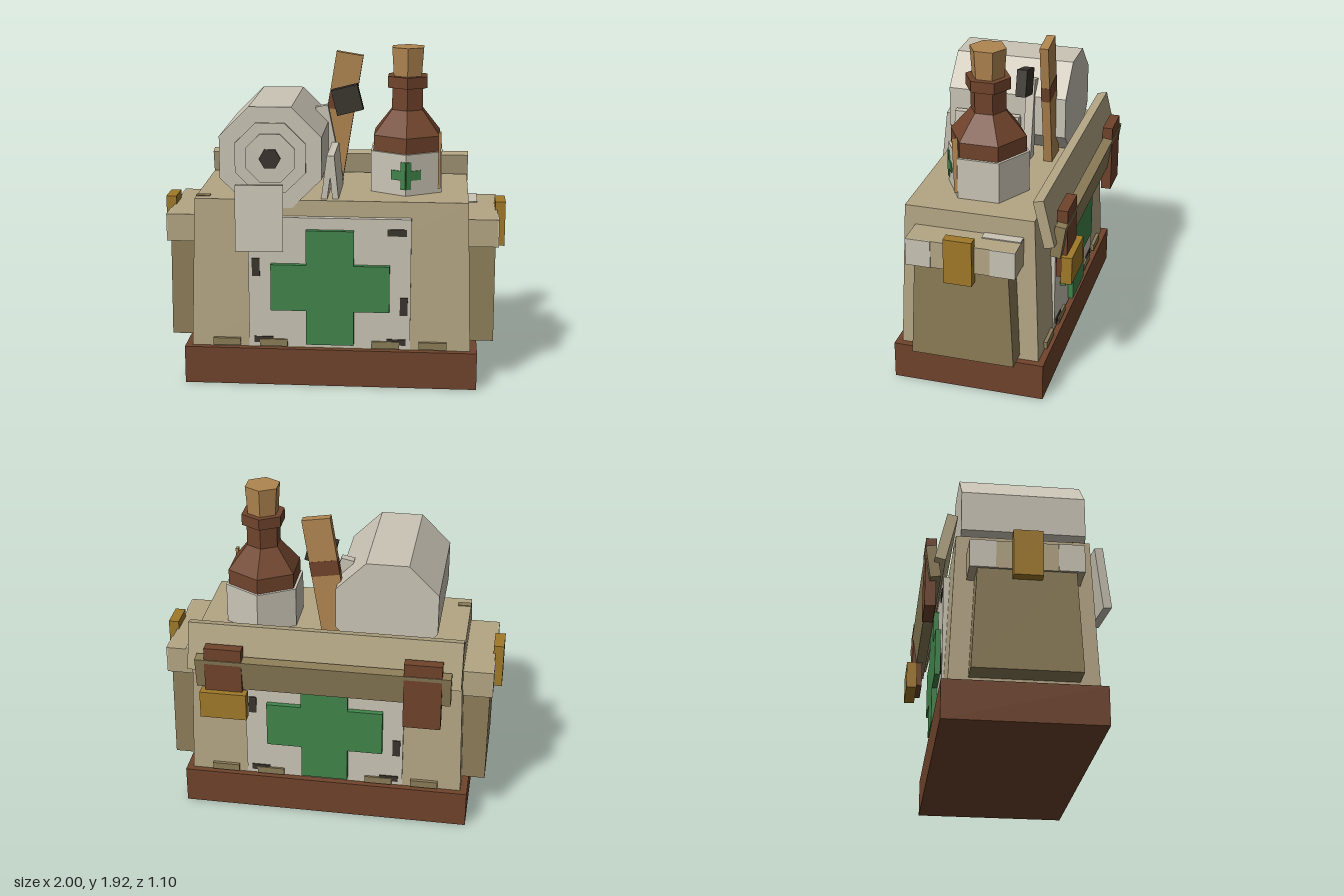
import * as THREE from 'three';

const mat = (name, color) => {
  const m = new THREE.MeshStandardMaterial({ color });
  m.name = name;
  m.flatShading = true;
  return m;
};

export function createModel() {
  const canvas = mat('tan canvas', 0xb4a684);
  const olive = mat('dark canvas', 0x8c7d58);
  const brown = mat('brown leather', 0x70442c);
  const white = mat('off white', 0xcbc5b6);
  const green = mat('green', 0x41854b);
  const gold = mat('brass', 0xa17a29);
  const wood = mat('light wood', 0xb08550);
  const black = mat('charcoal', 0x3a342d);

  const model = new THREE.Group();
  model.name = 'medicalBag';

  const add = (name, geometry, material, pos, rot = [0, 0, 0], parent = model) => {
    const mesh = new THREE.Mesh(geometry, material);
    mesh.name = name;
    mesh.position.set(...pos);
    mesh.rotation.set(...rot);
    parent.add(mesh);
    return mesh;
  };
  const box = (name, material, size, pos, rot, parent) =>
    add(name, new THREE.BoxGeometry(...size), material, pos, rot, parent);
  // Box whose upper end is scaled in x and z
  const taperedBox = (w, h, d, sx, sz) => {
    const g = new THREE.BoxGeometry(w, h, d);
    const p = g.attributes.position;
    for (let i = 0; i < p.count; i++) {
      if (p.getY(i) > 0) p.setXYZ(i, p.getX(i) * sx, p.getY(i), p.getZ(i) * sz);
    }
    g.computeVertexNormals();
    return g;
  };
  const prism = (rTop, rBottom, h, sides) => new THREE.CylinderGeometry(rTop, rBottom, h, sides);
  const crossGeometry = (size, bar, depth) => {
    const a = size / 2, b = bar / 2;
    const pts = [[-b, -a], [b, -a], [b, -b], [a, -b], [a, b], [b, b], [b, a], [-b, a], [-b, b], [-a, b], [-a, -b], [-b, -b]];
    return new THREE.ExtrudeGeometry(new THREE.Shape(pts.map(p => new THREE.Vector2(...p))), { depth, bevelEnabled: false });
  };

  // Base and body
  const zc = 0.008;
  box('base', brown, [1.69, 0.22, 0.88], [0, 0.11, zc]);
  add('body', taperedBox(1.61, 0.87, 0.806, 0.968, 0.915), canvas, [0, 0.655, zc]);
  box('topPatch', olive, [0.08, 0.006, 0.04], [-0.74, 1.092, 0.3]);

  // Front and back panels with cross, stitches and hem tabs
  for (const [side, turn] of [['front', 0], ['back', Math.PI]]) {
    const face = new THREE.Group();
    face.name = side + 'Face';
    face.position.z = zc;
    face.rotation.y = turn;
    model.add(face);
    box('panel', white, [0.93, 0.77, 0.06], [-0.005, 0.613, 0.379], undefined, face);
    add('cross', crossGeometry(0.68, 0.273, 0.045), green, [0, 0.59, 0.395], undefined, face);
    for (const [x, y, w, h] of [[0.38, 0.92, 0.11, 0.04], [-0.427, 0.702, 0.045, 0.105],
      [0.422, 0.483, 0.045, 0.105], [-0.385, 0.267, 0.11, 0.036], [0.38, 0.267, 0.11, 0.036]]) {
      box('stitch', black, [w, h, 0.008], [x, y, 0.411], undefined, face);
    }
    for (const x of [-0.6, -0.327, 0.318, 0.59]) {
      box('hemTab', olive, [0.16, 0.042, 0.03], [x, 0.25, 0.406], undefined, face);
    }
  }

  // Side pockets
  for (const s of [-1, 1]) {
    const pocket = new THREE.Group();
    pocket.name = s > 0 ? 'leftPocket' : 'rightPocket';
    model.add(pocket);
    add('pouch', taperedBox(0.2, 0.6, 0.59, 1, 0.9), olive, [s * 0.84, 0.55, zc], undefined, pocket);
    box('pocketFlap', canvas, [0.2, 0.16, 0.62], [s * 0.852, 0.9, zc], undefined, pocket);
    for (const z of [0.247, -0.231]) {
      box('flapPatch', white, [0.008, 0.16, 0.142], [s * 0.953, 0.9, z], undefined, pocket);
    }
    box('buckle', gold, [0.06, 0.265, 0.16], [s * 0.97, 0.897, zc], undefined, pocket);
  }
  box('flapTopPatch', white, [0.06, 0.008, 0.22], [0.81, 0.982, -0.19]);

  // Open lid hanging at the back, with straps
  box('lidUpper', canvas, [1.57, 0.28, 0.06], [0, 1.08, -0.412], [0.23, 0, 0]);
  box('lidLower', olive, [1.46, 0.19, 0.06], [0, 0.955, -0.477], [-0.15, 0, 0]);
  for (const x of [-0.572, 0.567]) {
    box('strap', brown, [0.215, 0.41, 0.06], [x, 0.915, -0.487]);
  }
  box('strapBuckle', gold, [0.27, 0.165, 0.062], [0.567, 0.768, -0.521]);

  // Bandage roll
  const roll = new THREE.Group();
  roll.name = 'bandageRoll';
  roll.position.set(-0.34, 1.335, 0);
  model.add(roll);
  const disc = (name, r, sides, z0, z1, material) => {
    const g = prism(r, r, z1 - z0, sides);
    g.rotateY(sides === 8 ? Math.PI / 8 : Math.PI / 6);
    g.rotateX(Math.PI / 2);
    add(name, g, material, [0, 0, (z0 + z1) / 2], undefined, roll);
  };
  disc('rollBody', 0.314, 8, -0.32, 0.385, white);
  disc('outerRing', 0.217, 8, 0.37, 0.397, white);
  disc('innerRing', 0.15, 8, 0.38, 0.408, white);
  disc('rollCore', 0.062, 6, 0.39, 0.42, black);
  box('bandageTail', white, [0.27, 0.375, 0.05], [-0.395, 1.01, 0.485], [-0.11, 0.1, 0]);

  // Bottle
  const bottle = new THREE.Group();
  bottle.name = 'bottle';
  bottle.position.set(0.42, 0, 0.003);
  model.add(bottle);
  const ring = (name, material, y0, y1, r0, r1) =>
    add(name, prism(r1, r0, y1 - y0, 6), material, [0, (y0 + y1) / 2, 0], undefined, bottle);
  ring('label', white, 1.07, 1.33, 0.237, 0.237);
  ring('bottleBody', brown, 1.32, 1.42, 0.22, 0.22);
  ring('shoulder', brown, 1.42, 1.56, 0.22, 0.102);
  ring('neck', brown, 1.56, 1.69, 0.102, 0.102);
  ring('collar', brown, 1.69, 1.755, 0.13, 0.13);
  ring('cork', wood, 1.755, 1.92, 0.093, 0.105);
  // Label cross folded over the front corner
  for (const s of [-1, 1]) {
    const half = new THREE.Group();
    half.name = 'labelCrossHalf';
    half.position.set(0, 1.207, 0.237);
    half.rotation.y = s * Math.PI / 6;
    bottle.add(half);
    box('crossUpright', green, [0.032, 0.16, 0.008], [s * 0.016, 0, 0.003], undefined, half);
    box('crossArm', green, [0.064, 0.055, 0.008], [s * 0.064, 0, 0.003], undefined, half);
  }
  box('thinStick', wood, [0.016, 0.33, 0.032], [0.611, 1.282, 0.132], [0.03, 0, 0]);

  // Wooden splint with a band
  const splint = new THREE.Group();
  splint.name = 'splint';
  splint.position.set(0.006, 1.45, -0.238);
  splint.rotation.z = -0.16;
  model.add(splint);
  box('splintBoard', wood, [0.162, 0.8, 0.05], [0, 0, 0], undefined, splint);
  box('splintBand', brown, [0.164, 0.09, 0.052], [0, 0.1, 0], undefined, splint);

  // Tool with dark grip, and folded gauze
  box('toolBlade', white, [0.075, 0.47, 0.05], [-0.043, 1.32, -0.11], [0, 0, 0.2]);
  box('toolGrip', black, [0.16, 0.155, 0.06], [0.062, 1.588, -0.106], [0, 0, 0.25]);
  box('gauzeFold', white, [0.035, 0.26, 0.39], [-0.025, 1.21, 0.138], [0, 0, -0.13]);
  box('gauzeFold', white, [0.035, 0.26, 0.39], [0.012, 1.21, 0.138], [0, 0, 0.1]);

  return model;
}
